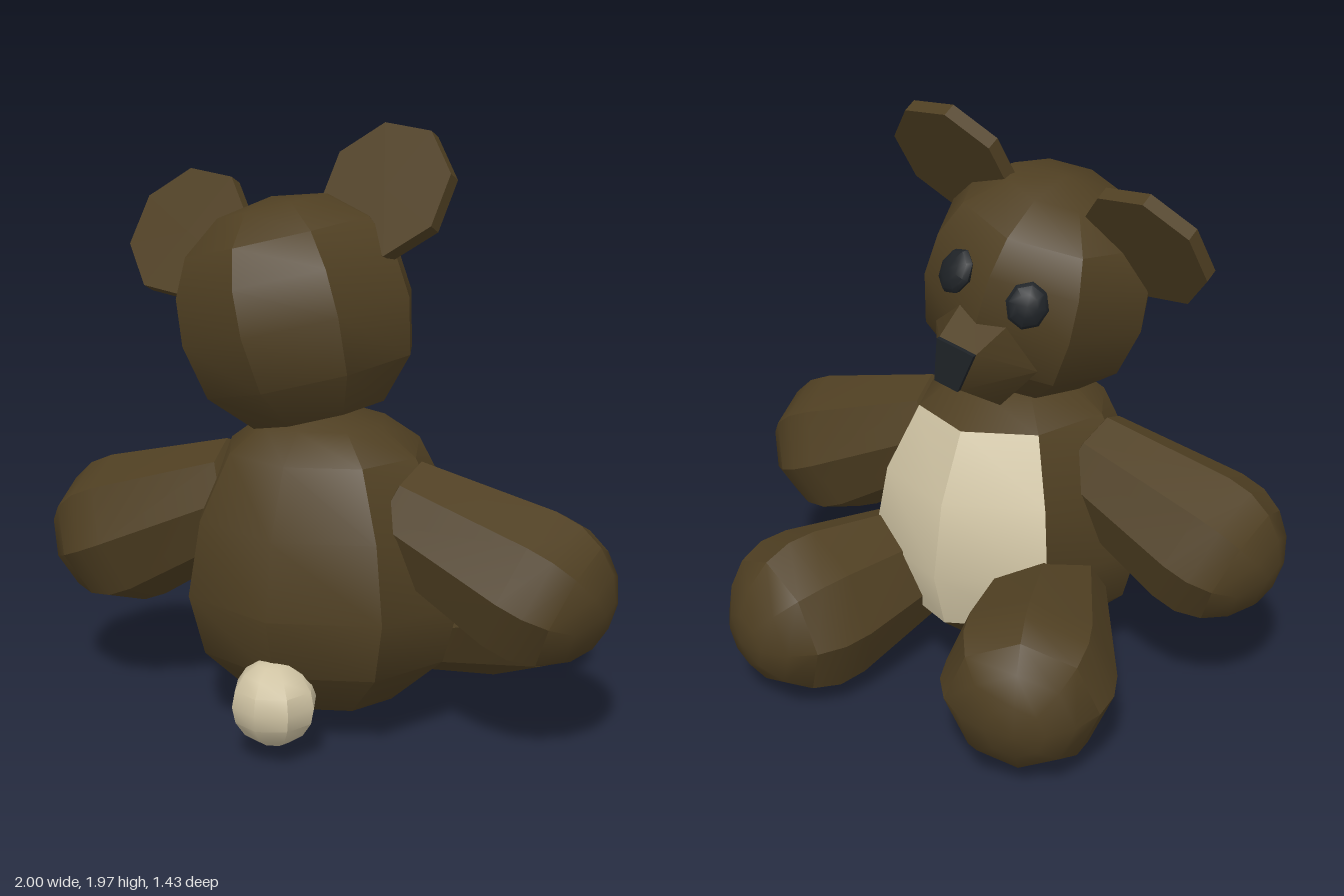
import * as THREE from 'three';
import { mergeGeometries, toCreasedNormals } from 'three/addons/utils/BufferGeometryUtils.js';
import { ConvexGeometry } from 'three/addons/geometries/ConvexGeometry.js';

const BROWN = new THREE.MeshStandardMaterial({ color: 0x4f3f22 });
const CREAM = new THREE.MeshStandardMaterial({ color: 0xcfc3a3 });
const DARK = new THREE.MeshStandardMaterial({ color: 0x1e2226 });
const CREASE = 0.7;
const SIDES = 8;

function part(name, geometry, material, parent) {
  const mesh = new THREE.Mesh(toCreasedNormals(geometry, CREASE), material);
  mesh.name = name;
  parent.add(mesh);
  return mesh;
}

// Lathe of [radius, height] pairs, listed from bottom to top
function lathe(profile, sides = SIDES, start = 0, length = Math.PI * 2) {
  const points = profile.map(([r, y]) => new THREE.Vector2(r, y));
  return new THREE.LatheGeometry(points, sides, start, length);
}

// Tapered limb with a ball end, running from the joint to the ball's centre
function limb(name, from, to, r0, r1, parent) {
  const a = new THREE.Vector3(...from), b = new THREE.Vector3(...to);
  const len = a.distanceTo(b);
  const tilt = Math.asin((r1 - r0) / len);
  const profile = [[0, -r0 * 0.3], [r0, 0]];
  const steps = 5;
  for (let i = 0; i <= steps; i++) {
    const t = THREE.MathUtils.lerp(-tilt, Math.PI / 2, i / steps);
    profile.push([i === steps ? 0 : r1 * Math.cos(t), len + r1 * Math.sin(t)]);
  }
  const mesh = part(name, lathe(profile).rotateX(Math.PI / 2), BROWN, parent);
  mesh.position.copy(a);
  mesh.lookAt(b);
}

// Body: eight-sided egg that bulges further towards the belly (-z)
function addBody(parent) {
  const rings = [
    [0, 0.08], [0.25, 0.12], [0.43, 0.28], [0.485, 0.48],
    [0.44, 0.73], [0.33, 0.95], [0.21, 1.04], [0, 1.09],
  ];
  const bulge = (g) => {
    const p = g.attributes.position;
    for (let i = 0; i < p.count; i++) {
      const z = p.getZ(i);
      p.setZ(i, 0.22 + z * (z < 0 ? 1.11 : 0.84));
    }
    return g;
  };
  const front = (a, b) => bulge(lathe(rings.slice(a, b), 2, Math.PI * 0.75, Math.PI / 2));
  const back = bulge(lathe(rings, 6, Math.PI * 1.25, Math.PI * 1.5));
  part('body', mergeGeometries([back, front(0, 3), front(5, 8)]), BROWN, parent);
  part('bellyPatch', front(2, 6), CREAM, parent);
}

// Head group pivots at the neck and leans to one side
function addHead(parent) {
  const head = new THREE.Group();
  head.name = 'head';
  head.position.set(0, 1.05, 0);
  head.rotation.z = 0.245;
  parent.add(head);

  const skull = part('skull', lathe([
    [0, 0], [0.23, 0.02], [0.355, 0.15], [0.395, 0.33],
    [0.38, 0.48], [0.32, 0.6], [0.19, 0.695], [0, 0.725],
  ]), BROWN, head);
  skull.position.z = 0.22;

  // Muzzle tapers from a wide hexagon to the nose outline
  const noseOutline = [[-0.07, 0.27], [0.07, 0.27], [0.045, 0.125], [-0.045, 0.125]];
  const base = [[-0.1, 0.37], [0.1, 0.37], [0.2, 0.19], [0.1, 0.01], [-0.1, 0.01], [-0.2, 0.19]];
  const at = (pts, z) => pts.map(([x, y]) => new THREE.Vector3(x, y, z));
  part('muzzle', new ConvexGeometry([...at(base, -0.06), ...at(noseOutline, -0.265)]), BROWN, head);
  part('nose', new ConvexGeometry([...at(noseOutline, -0.255), ...at(noseOutline, -0.282)]), DARK, head);

  for (const s of [-1, 1]) {
    const side = s > 0 ? 'left' : 'right';
    // Eyes: flattened low-poly beads set into the face
    const eyeGeo = new THREE.SphereGeometry(1, 8, 6).rotateX(Math.PI / 2).scale(0.07, 0.078, 0.035);
    const eye = part(side + 'Eye', eyeGeo, DARK, head);
    eye.position.set(s * 0.135, 0.43, -0.125);
    eye.rotation.set(0.35, -s * 0.45, 0, 'YXZ');

    // Ears: octagonal discs leaning forward
    const earGeo = new THREE.CylinderGeometry(0.23, 0.23, 0.05, SIDES).rotateX(Math.PI / 2);
    const ear = part(side + 'Ear', earGeo, BROWN, head);
    ear.position.set(s * 0.365, 0.66, 0.14);
    ear.rotation.x = -0.52;
  }
}

export function createModel() {
  const model = new THREE.Group();
  model.name = 'teddyBear';
  addBody(model);
  addHead(model);
  for (const s of [-1, 1]) {
    const side = s > 0 ? 'left' : 'right';
    limb(side + 'Arm', [s * 0.28, 0.775, 0.22], [s * 0.74, 0.58, 0.22], 0.18, 0.26, model);
    limb(side + 'Leg', [s * 0.21, 0.37, 0.15], [s * 0.43, 0.295, -0.43], 0.16, 0.285, model);
  }
  const tail = part('tail', new THREE.SphereGeometry(0.14, 8, 8), CREAM, model);
  tail.position.set(0, 0.2, 0.575);
  return model;
}
